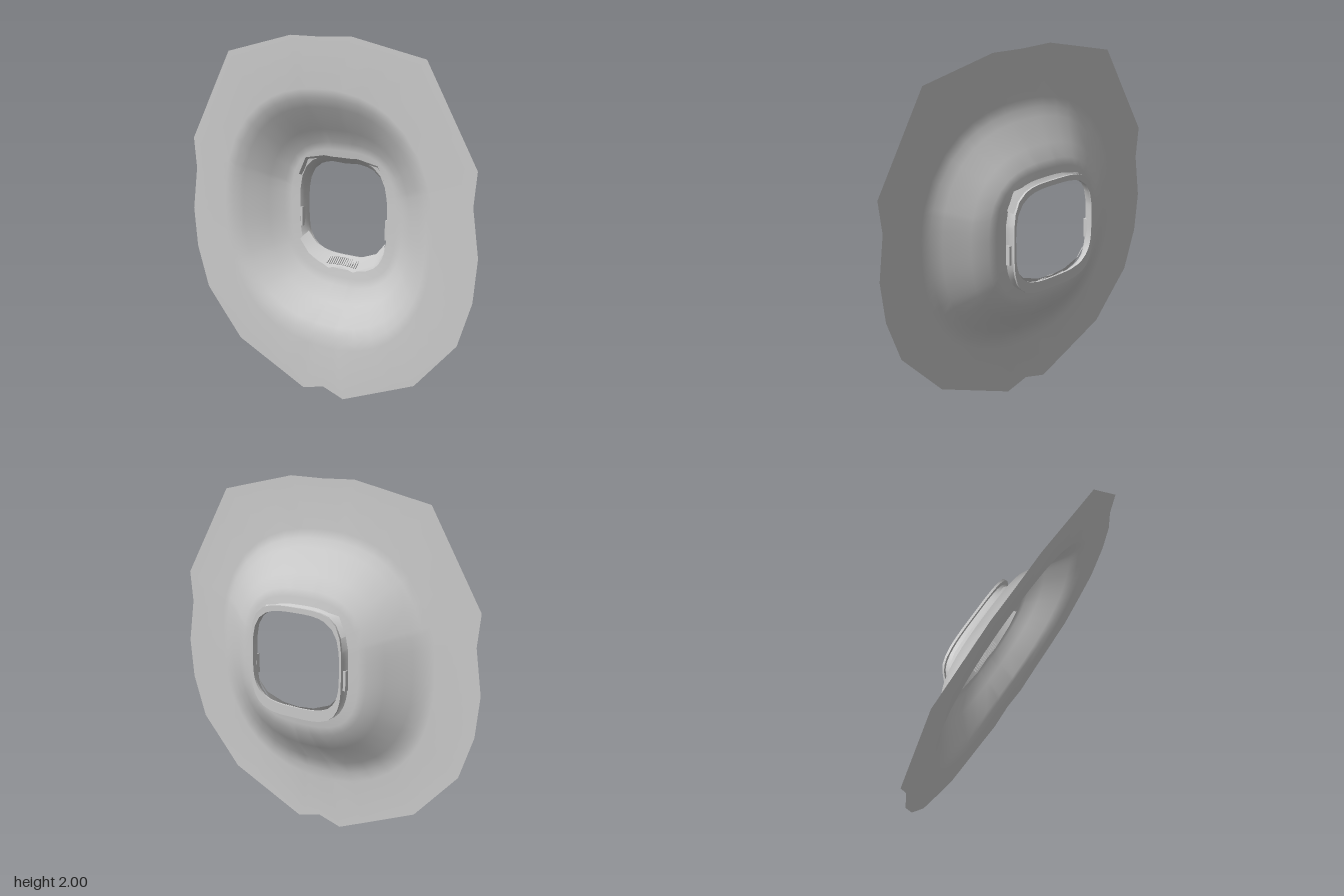
import * as THREE from 'three';

const CY = 1.02; // height of the opening's centre
const mat = new THREE.MeshStandardMaterial({ color: 0xcccccc, side: THREE.DoubleSide });

// Surface through a list of equally long rows of Vector3
function loft(name, rows, closed) {
  const n = rows[0].length, idx = [];
  for (let i = 0; i < rows.length - 1; i++) {
    for (let j = 0; j < (closed ? n : n - 1); j++) {
      const k = (j + 1) % n;
      const a = i * n + j, b = i * n + k, c = (i + 1) * n + k, d = (i + 1) * n + j;
      idx.push(a, b, c, a, c, d);
    }
  }
  const g = new THREE.BufferGeometry().setFromPoints(rows.flat());
  g.setIndex(idx);
  g.computeVertexNormals();
  const m = new THREE.Mesh(g, mat);
  m.name = name;
  return m;
}

// Mirrors a left-hand run of points (first and last lie on x = 0) to a closed outline
const mirrorClosed = (half) => [...half, ...half.slice(1, -1).reverse().map(([x, y]) => [-x, y])];
// Mirrors a run that starts on x = 0 into an open strip
const mirrorOpen = (half, z) =>
  [...half.slice(1).reverse().map(([x, y]) => [-x, y]), ...half].map(([x, y]) => new THREE.Vector3(x, y, z));

// Irregular outer edge, counter-clockwise from the bottom, three steps per side
const corners = mirrorClosed([
  [0, 0.045], [0.145, 0.005], [0.63, 0.205], [0.89, 0.48], [0.975, 0.72], [1, 0.95],
  [0.965, 1.2], [0.985, 1.38], [0.68, 1.9], [0.21, 2], [0, 1.995],
]);
const edge = [];
corners.forEach(([x, y], i) => {
  const [u, v] = corners[(i + 1) % corners.length];
  for (let k = 0; k < 3; k++) edge.push([x + (u - x) * k / 3, y + (v - y) * k / 3]);
});

// The lower middle of the flat border sinks back a little
const dip = (x, y) => 0.016 * Math.max(0, (CY - y) / Math.hypot(x, y - CY)) ** 6;

// Rounded-square ring: half width, reach up, reach down, squareness, depth
function ring(a, up, down, n, z, dipped) {
  return edge.map(([ex, ey]) => {
    const t = Math.atan2(ey - CY, ex), c = Math.cos(t), s = Math.sin(t);
    const r = (Math.abs(c / a) ** n + Math.abs(s / (s > 0 ? up : down)) ** n) ** (-1 / n);
    const x = r * c, y = CY + r * s;
    return new THREE.Vector3(x, y, z - (dipped ? dip(x, y) : 0));
  });
}

export function createModel() {
  const model = new THREE.Group();
  model.name = 'facePlate';

  // Flat border running into the soft funnel
  model.add(loft('funnel', [
    edge.map(([x, y]) => new THREE.Vector3(x, y, 0.125 - dip(x, y))),
    ring(0.73, 0.70, 0.74, 2.3, 0.125, true),
    ring(0.68, 0.65, 0.68, 2.35, 0.108, true),
    ring(0.62, 0.60, 0.62, 2.4, 0.085),
    ring(0.50, 0.47, 0.51, 2.5, 0.0),
    ring(0.42, 0.395, 0.42, 2.7, -0.05),
    ring(0.37, 0.35, 0.37, 3, -0.057),
    ring(0.31, 0.31, 0.325, 3.2, -0.063),
  ], true));

  // Short collar around the opening
  model.add(loft('collar', [
    ring(0.31, 0.31, 0.325, 3.2, -0.063),
    ring(0.297, 0.283, 0.275, 3.3, -0.085),
    ring(0.293, 0.278, 0.255, 3.4, -0.113),
  ], true));

  // Thin flange at the back of the collar
  const inner = [0.293, 0.278, 0.255, 3.4], outer = [0.306, 0.307, 0.315, 3.8];
  [[inner, -0.113, outer, -0.113], [outer, -0.113, outer, -0.125],
    [outer, -0.125, inner, -0.125], [inner, -0.125, inner, -0.113]].forEach(([p, z0, q, z1], i) =>
    model.add(loft('flange' + (i + 1), [ring(...p, z0), ring(...q, z1)], true)));

  // Sloping strips above and below the opening
  model.add(loft('upperStrip', [
    mirrorOpen([[0, 1.33], [0.12, 1.335], [0.255, 1.31], [0.307, 1.21]], -0.048),
    mirrorOpen([[0, 1.295], [0.11, 1.3], [0.225, 1.275], [0.28, 1.19]], -0.092),
  ], false));
  model.add(loft('lowerStrip', [
    mirrorOpen([[0, 0.715], [0.09, 0.692], [0.235, 0.755], [0.3, 0.83]], -0.048),
    mirrorOpen([[0, 0.762], [0.105, 0.772], [0.215, 0.81], [0.275, 0.875]], -0.095),
  ], false));

  // Fine ribs on the middle of the lower strip
  const ribGeo = new THREE.BoxGeometry(0.006, 0.05, 0.006);
  for (let i = -7; i <= 7; i++) {
    const rib = new THREE.Mesh(ribGeo, mat);
    rib.name = 'gripRib';
    rib.position.set(i * 0.0145, 0.741 - Math.abs(i) * 0.0008, -0.069);
    rib.rotation.x = -0.75;
    model.add(rib);
  }

  // Small tabs on both sides of the opening
  for (const s of [1, -1]) {
    const tab = new THREE.Mesh(new THREE.BoxGeometry(0.016, 0.11, 0.026), mat);
    tab.name = s > 0 ? 'leftTab' : 'rightTab';
    tab.position.set(s * 0.303, 0.96, -0.077);
    model.add(tab);
  }
  return model;
}
